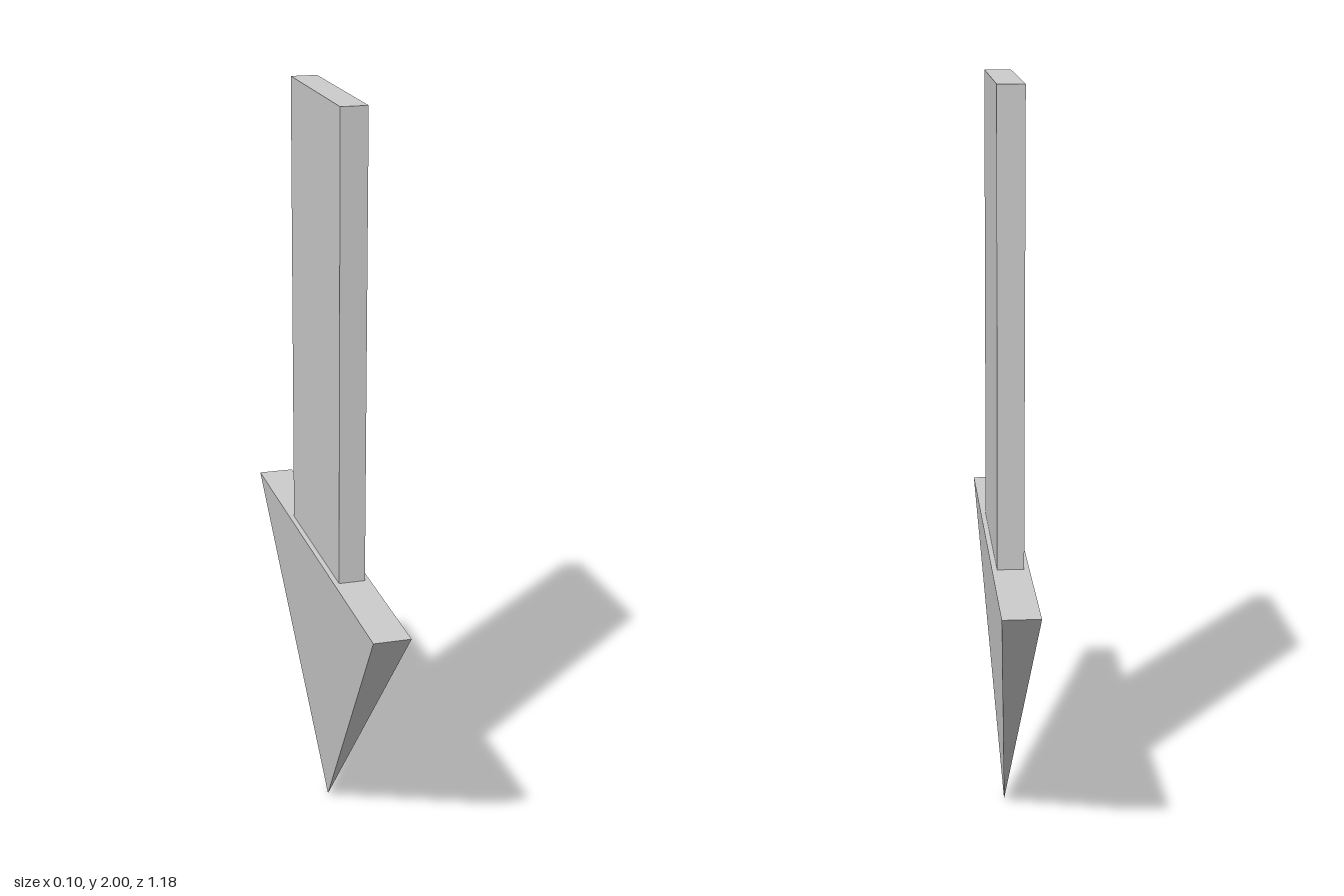
import * as THREE from 'three';

const HEAD_TOP = 0.77; // height where the shaft meets the head

export function createModel() {
  const group = new THREE.Group();
  const material = new THREE.MeshStandardMaterial({ color: 0xcccccc, flatShading: true });

  const add = (name, geometry, y) => {
    const mesh = new THREE.Mesh(geometry, material);
    mesh.name = name;
    mesh.position.y = y;
    group.add(mesh);
  };

  // Flat upright shaft
  const shaftHeight = 2 - HEAD_TOP;
  add('shaft', new THREE.BoxGeometry(0.07, shaftHeight, 0.47), HEAD_TOP + shaftHeight / 2);

  // Arrowhead: a four-sided pyramid with a unit base, point down, squeezed thin
  const head = new THREE.ConeGeometry(Math.SQRT1_2, HEAD_TOP, 4);
  head.rotateY(Math.PI / 4).rotateX(Math.PI).scale(0.097, 1, 1.18);
  add('arrowhead', head, HEAD_TOP / 2);

  return group;
}
